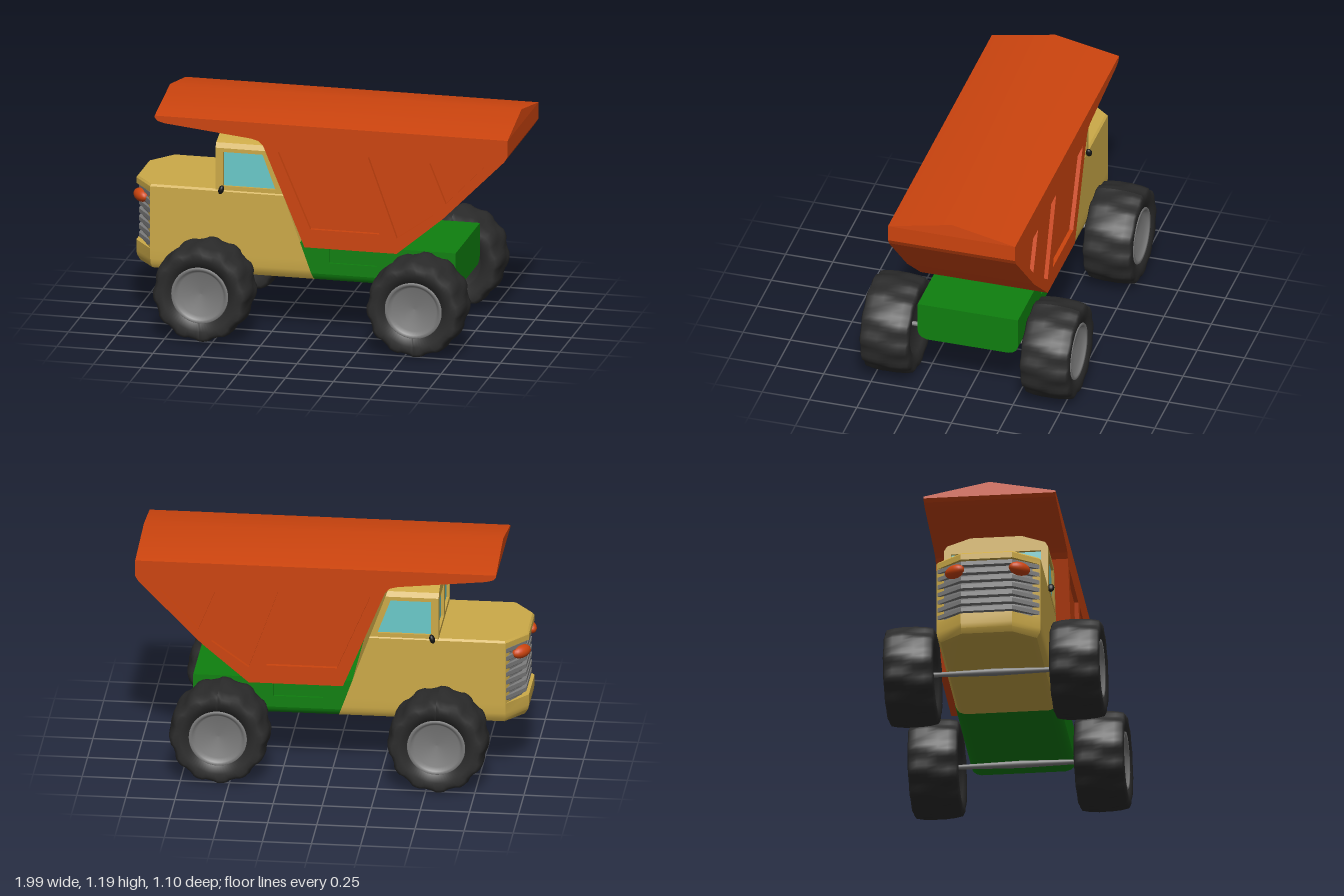
import * as THREE from 'three';
import { toCreasedNormals } from 'three/addons/utils/BufferGeometryUtils.js';

const paint = (color, extra = {}) => new THREE.MeshStandardMaterial({ color, ...extra });

// Stack of plan rings from bottom to top, closed with fans at both ends
function loft(rings) {
  const n = rings[0].length, pos = [];
  const tri = (a, b, c) => pos.push(...a, ...b, ...c);
  for (let i = 0; i < rings.length - 1; i++) {
    for (let j = 0; j < n; j++) {
      const k = (j + 1) % n;
      tri(rings[i][j], rings[i][k], rings[i + 1][k]);
      tri(rings[i][j], rings[i + 1][k], rings[i + 1][j]);
    }
  }
  const top = rings[rings.length - 1];
  for (let j = 1; j < n - 1; j++) {
    tri(rings[0][0], rings[0][j + 1], rings[0][j]);
    tri(top[0], top[j], top[j + 1]);
  }
  const g = new THREE.BufferGeometry();
  g.setAttribute('position', new THREE.Float32BufferAttribute(pos, 3));
  return toCreasedNormals(g, 0.6);
}

// Flat plate from an outline with optional holes
function plate(outline, holes, depth) {
  const pts = (a) => a.map(([x, y]) => new THREE.Vector2(x, y));
  const s = new THREE.Shape(pts(outline));
  holes.forEach((h) => s.holes.push(new THREE.Path(pts(h))));
  return new THREE.ExtrudeGeometry(s, { depth, bevelEnabled: false });
}

// Slanted plane at the back of the cab
const rearX = (y) => -0.1 - 0.36 * (y - 0.49);
const block = (x0, x1, y, w) => [[x1, y, -w], [x0, y, -w], [x0, y, w], [x1, y, w]];
const noseRing = (y, inset, nose = -0.985, back = rearX(y), z = 0.13) => {
  const w = 0.265 - inset, c = -0.88 + inset * 0.4, f = nose + inset;
  return [[back, y, -w], [c, y, -w], [f, y, -z], [f, y, z], [c, y, w], [back, y, w]];
};

export function createModel() {
  const truck = new THREE.Group();
  truck.name = 'dumpTruck';
  const yellow = paint(0xccaa48), orange = paint(0xcc440e), green = paint(0x0f800f);
  const rubber = paint(0x2b2b2b), grey = paint(0x7c7c7c), glass = paint(0x6acaca), black = paint(0x151515);
  const rim = paint(0x7c7c7c, { side: THREE.DoubleSide });
  const add = (name, geo, mat, x = 0, y = 0, z = 0, parent = truck) => {
    const m = new THREE.Mesh(geo, mat);
    m.name = name;
    m.position.set(x, y, z);
    parent.add(m);
    return m;
  };
  // Mirrored pair of plates with the outer face at z = +-w
  const sidePlates = (name, outline, holes, depth, w, mat) => {
    const g = plate(outline, holes, depth);
    add(name + 'Left', g, mat, 0, 0, w - depth);
    add(name + 'Right', g, mat, 0, 0, -w);
  };

  // Bonnet and lower cab, with a set-back band for the grille
  add('lowerBody', loft([
    noseRing(0.285, 0.05), noseRing(0.295, 0.02), noseRing(0.32, 0.004), noseRing(0.345, 0),
    noseRing(0.4, 0), noseRing(0.4, 0, -0.94), noseRing(0.7, 0, -0.94), noseRing(0.7, 0),
    noseRing(0.73, 0), noseRing(0.74, 0.01),
  ]), yellow);

  // Slatted grille wrapping round the nose
  const slats = 7, pitch = 0.3 / slats, grille = [];
  for (let i = 0; i < slats; i++) {
    const y = 0.4 + i * pitch;
    [[0, 0.018], [0.3, 0.018], [0.4, 0], [0.9, 0], [1, 0.018]].forEach(([t, d]) =>
      grille.push(noseRing(y + t * pitch, 0.001 + d * 0.2, -0.973 + d, -0.87)));
  }
  add('grille', loft(grille), grey);

  // Headlights and mirrors
  const ball = new THREE.SphereGeometry(1, 20, 14);
  for (const s of [-1, 1]) {
    const lamp = add('headlight', ball, orange, -0.95, 0.65, s * 0.165);
    lamp.scale.set(0.035, 0.034, 0.06);
    lamp.rotation.y = s * 0.66;
    const mirror = add('mirror', ball, black, -0.508, 0.742, s * 0.275);
    mirror.scale.set(0.014, 0.024, 0.018);
    mirror.rotation.z = -0.3;
  }

  // Cab: glass core, window frames, back wall and sloping roof
  add('cabGlass', loft([0.74, 0.96].map((y) => block(-0.525, rearX(y) - 0.02, y, 0.252))), glass);
  sidePlates('cabSide',
    [[-0.54, 0.738], [rearX(0.738), 0.738], [rearX(0.96), 0.96], [-0.54, 0.96]],
    [[[-0.5, 0.76], [-0.228, 0.76], [-0.295, 0.94], [-0.5, 0.94]]], 0.015, 0.265, yellow);
  const pane = (a, b) => [[a, 0.765], [b, 0.765], [b, 0.94], [a, 0.94]];
  add('windscreenFrame', plate([[-0.25, 0.738], [0.25, 0.738], [0.25, 0.96], [-0.25, 0.96]],
    [pane(-0.23, -0.02), pane(0.02, 0.23)], 0.015), yellow, -0.54).rotation.y = Math.PI / 2;
  add('cabBack', loft([0.738, 0.96].map((y) => block(rearX(y) - 0.021, rearX(y), y, 0.25))), yellow);
  add('cabRoof', loft([[0.96, 0.265], [0.985, 0.25], [1.025, 0.13]].map(([y, w]) =>
    block(-0.54, rearX(y), y, w))), yellow);

  // Chassis with a recessed side panel
  add('chassis', loft([[0.285, 0.215], [0.293, 0.24], [0.305, 0.255], [0.32, 0.262], [0.33, 0.265],
    [0.33, 0.253], [0.49, 0.253]].map(([y, w]) => block(rearX(y), 0.71, y, w))), green);
  sidePlates('chassisSide', [[rearX(0.33), 0.33], [0.71, 0.33], [0.71, 0.49], [0.3, 0.49],
    [0.3, 0.39], [0.05, 0.39], [0.05, 0.49], [rearX(0.49), 0.49]], [], 0.012, 0.265, green);

  // Dump bed: core, side walls with sunken panels, ridged cover
  const bed = [[-0.84, 1.13], [-0.84, 1.12], [-0.825, 1.103], [-0.79, 1.093], [-0.34, 1.045],
    [-0.3, 1.035], [-0.275, 1.01], [-0.06, 0.488], [0.42, 0.488], [0.66, 0.69], [0.98, 1.015],
    [0.998, 1.045], [0.998, 1.13]];
  add('bedCore', plate(bed, [], 0.63), orange, 0, 0, -0.315);
  sidePlates('bedSide', bed, [
    [[-0.2, 0.985], [-0.03, 0.585], [0.33, 0.585], [0.2, 0.985]],
    [[0.27, 0.99], [0.42, 0.57], [0.61, 0.705], [0.51, 0.985], [0.49, 0.99]],
    [[0.59, 0.98], [0.675, 0.77], [0.875, 0.98]],
  ], 0.021, 0.336, orange);
  add('bedCover', loft([[1.13, 0.336], [1.195, 0.001]].map(([y, w]) =>
    block(-0.84, y > 1.15 ? 0.99 : 0.998, y, w))), orange);

  // Knobbly tyre: lathe whose tread bulges alternately on each half
  const profile = [[0.001, -0.085], [0.14, -0.085], [0.148, -0.115], [0.19, -0.127], [0.222, -0.127],
    [0.238, -0.118], [0.246, -0.08], [0.25, -0.03], [0.25, 0.03], [0.246, 0.08], [0.238, 0.118],
    [0.222, 0.127], [0.19, 0.127], [0.148, 0.115], [0.142, 0.08]].map(([r, h]) => new THREE.Vector2(r, h));
  const tyre = new THREE.LatheGeometry(profile, 72);
  const p = tyre.attributes.position;
  for (let i = 0; i < p.count; i++) {
    const x = p.getX(i), h = p.getY(i), z = p.getZ(i), r = Math.hypot(x, z);
    if (r < 0.2) continue;
    const wave = Math.cos(12 * Math.atan2(z, x) + (h > 0 ? 0.8 : -0.8));
    const k = 1 + (0.006 * Math.tanh(2.5 * wave)) / r;
    p.setXYZ(i, x * k, h, z * k);
  }
  tyre.computeVertexNormals();
  const hub = new THREE.LatheGeometry([[0, 0.085], [0.115, 0.095], [0.13, 0.118], [0.145, 0.121],
    [0.15, 0.112]].map(([r, h]) => new THREE.Vector2(r, h)), 48);
  const axle = new THREE.LatheGeometry([[0.012, -0.36], [0.012, -0.3], [0.016, -0.12], [0.019, 0],
    [0.016, 0.12], [0.012, 0.3], [0.012, 0.36]].map(([r, h]) => new THREE.Vector2(r, h)), 20);
  for (const x of [-0.557, 0.555]) {
    add('axle', axle, rim, x, 0.263, 0).rotation.x = Math.PI / 2;
    for (const s of [-1, 1]) {
      const wheel = new THREE.Group();
      wheel.name = 'wheel';
      wheel.position.set(x, 0.257, s * 0.423);
      wheel.rotation.x = (s * Math.PI) / 2;
      add('tyre', tyre, rubber, 0, 0, 0, wheel);
      add('hub', hub, rim, 0, 0, 0, wheel);
      truck.add(wheel);
    }
  }
  return truck;
}
